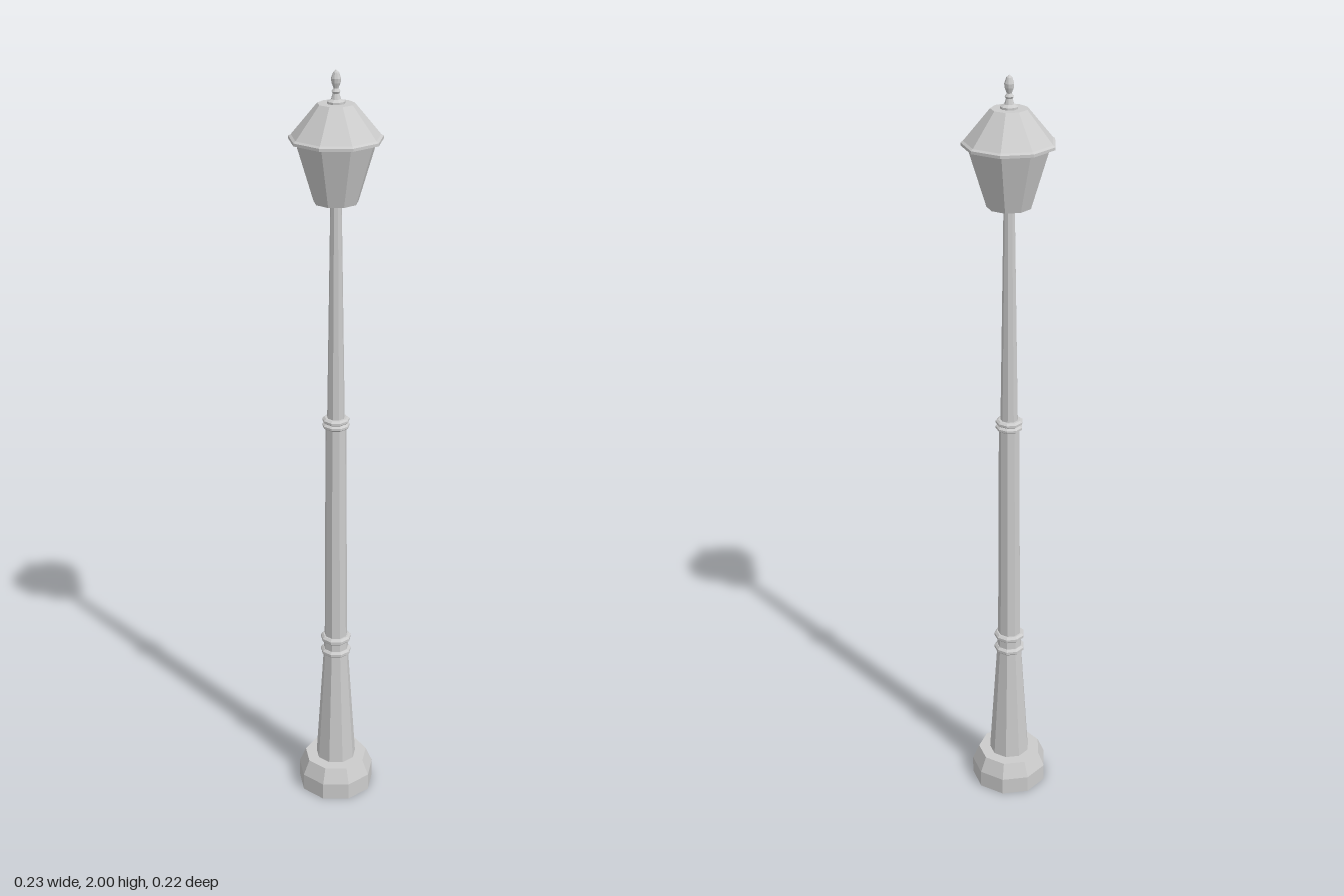
import * as THREE from 'three';

const SIDES = 9;
const material = new THREE.MeshStandardMaterial({ color: 0xcccccc, flatShading: true });

// Nine-sided turned part from [radius, height] pairs, listed bottom to top
function turned(name, profile) {
  const points = profile.map(([r, y]) => new THREE.Vector2(r, y));
  const mesh = new THREE.Mesh(new THREE.LatheGeometry(points, SIDES, Math.PI), material);
  mesh.name = name;
  return mesh;
}

// Small bevelled collar around the post
function collar(name, y, r, h) {
  return turned(name, [
    [0.01, y - h / 2], [r - 0.006, y - h / 2], [r, y - h / 5],
    [r, y + h / 5], [r - 0.006, y + h / 2], [0.01, y + h / 2],
  ]);
}

export function createModel() {
  const lamp = new THREE.Group();
  lamp.name = 'streetLamp';

  // Foot and tapered post
  lamp.add(
    turned('foot', [[0, 0], [0.104, 0], [0.104, 0.048], [0.086, 0.09], [0.05, 0.09]]),
    turned('lowerPost', [[0.055, 0.088], [0.034, 0.42], [0.032, 0.475]]),
    turned('middlePost', [[0.031, 0.47], [0.027, 1.1], [0.024, 1.115]]),
    turned('upperPost', [[0.023, 1.11], [0.014, 1.69]]),
  );

  // Collars
  lamp.add(
    collar('lowerCollar', 0.43, 0.041, 0.018),
    collar('secondCollar', 0.47, 0.041, 0.018),
    collar('upperCollarBottom', 1.1, 0.035, 0.014),
    collar('upperCollarTop', 1.115, 0.035, 0.014),
  );

  // Lantern body, overhanging roof and finial
  lamp.add(
    turned('lanternBody', [[0, 1.685], [0.055, 1.685], [0.102, 1.838]]),
    turned('lanternRoof', [
      [0.098, 1.834], [0.115, 1.834], [0.115, 1.841], [0.109, 1.845], [0.045, 1.922], [0, 1.922],
    ]),
    turned('finial', [
      [0.022, 1.92], [0.022, 1.927], [0.012, 1.932], [0.008, 1.945], [0.011, 1.95],
      [0.006, 1.957], [0.011, 1.97], [0.012, 1.98], [0.007, 1.994], [0, 2],
    ]),
  );

  // Balance the odd-sided outline about z = 0
  lamp.position.z = 0.0035;
  return lamp;
}
